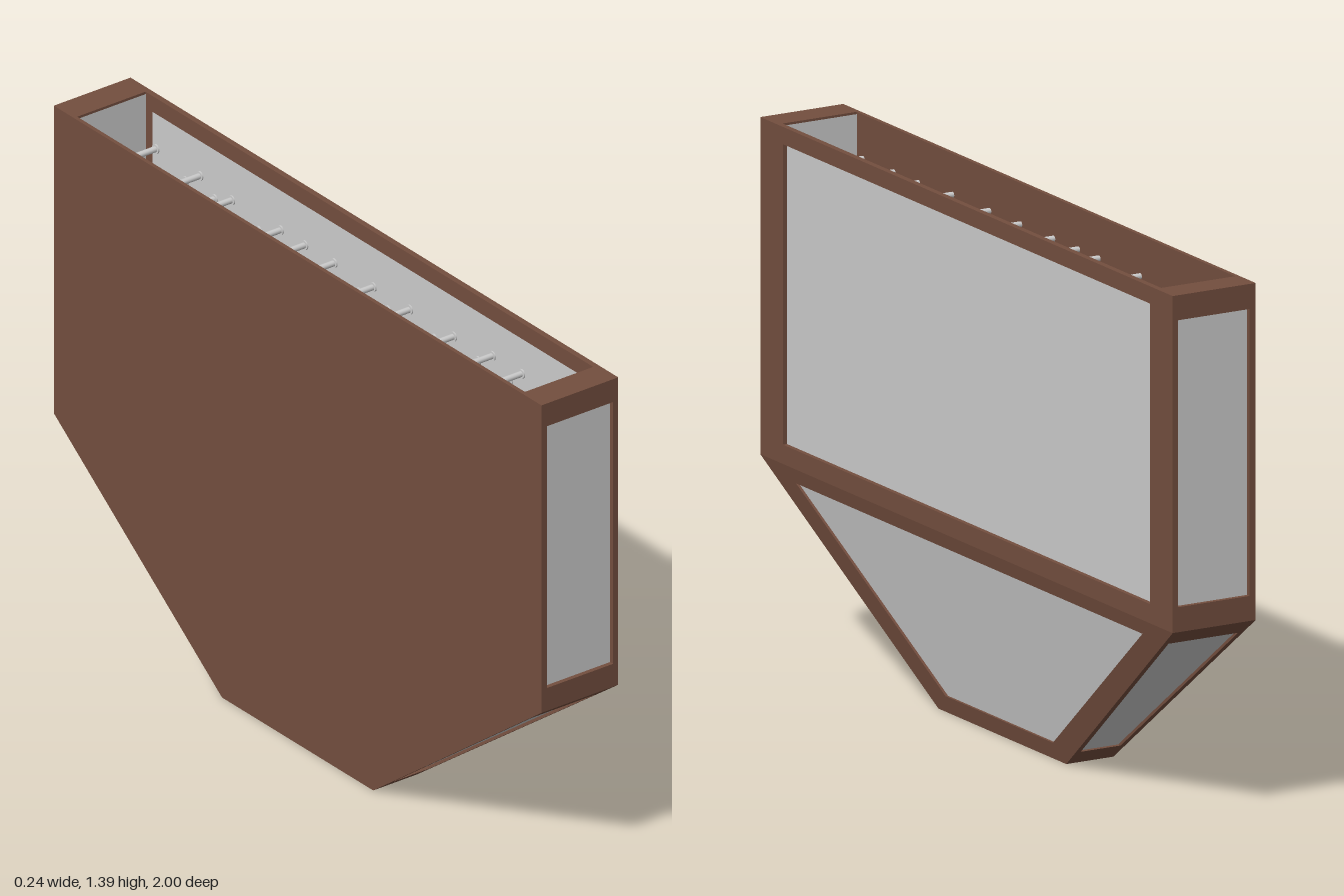
import * as THREE from 'three';
import { ConvexGeometry } from 'three/addons/geometries/ConvexGeometry.js';
import { mergeGeometries } from 'three/addons/utils/BufferGeometryUtils.js';

const wood = new THREE.MeshStandardMaterial({ color: 0x734e3e });
const grey = new THREE.MeshStandardMaterial({ color: 0xcccccc });
const V = (x, y, z) => new THREE.Vector3(x, y, z);

// Key dimensions
const BACK = -0.115, SIDE = 0.12, FOOT = 0.015; // x of back board, upper face, foot of sloped face
const TOP = 1.39, MID = 0.515, END = 1, FOOT_END = 0.31;

function addMesh(parent, name, geometry, material) {
  const mesh = new THREE.Mesh(geometry, material);
  mesh.name = name;
  parent.add(mesh);
  return mesh;
}

// Four-sided wooden frame with a recessed pane; corners run round the quad.
// "depth" points inwards; a lined pane widens to cover the inside of the frame.
function framedPanel(name, outer, hole, depth, recess, lined) {
  const group = new THREE.Group();
  group.name = name;
  const push = (p, k) => p.clone().addScaledVector(depth, k);
  const bars = outer.map((p, i) => {
    const j = (i + 1) % 4;
    const face = [p, outer[j], hole[j], hole[i]];
    return new ConvexGeometry([...face, ...face.map((q) => push(q, 1))]);
  });
  addMesh(group, name + 'Frame', mergeGeometries(bars), wood);
  const inside = lined ? outer.map((p, i) => p.clone().lerp(hole[i], 0.08)) : hole;
  const pane = [...hole.map((p) => push(p, recess)), ...inside.map((p) => push(p, lined ? 1.03 : 0.95))];
  addMesh(group, name + 'Pane', new ConvexGeometry(pane), grey);
  return group;
}

export function createModel() {
  const model = new THREE.Group();

  // Solid six-sided back board
  const outline = [[TOP, END], [MID, END], [0, FOOT_END], [0, -FOOT_END], [MID, -END], [TOP, -END]];
  const board = outline.flatMap(([y, z]) => [V(-0.123, y, z), V(BACK + 0.003, y, z)]);
  addMesh(model, 'backBoard', new ConvexGeometry(board), wood);

  // Large upright face
  model.add(framedPanel('upperFace',
    [V(SIDE, TOP, END), V(SIDE, MID, END), V(SIDE, MID, -END), V(SIDE, TOP, -END)],
    [V(SIDE, 1.345, 0.89), V(SIDE, 0.565, 0.89), V(SIDE, 0.565, -0.89), V(SIDE, 1.345, -0.89)],
    V(-0.016, 0, 0), 0.75, false));

  // Sloped lower face
  const slopeX = (y) => FOOT + (SIDE - FOOT) * y / MID;
  const onSlope = (y, z) => V(slopeX(y), y, z);
  model.add(framedPanel('lowerFace',
    [onSlope(MID, END), onSlope(0, FOOT_END), onSlope(0, -FOOT_END), onSlope(MID, -END)],
    [onSlope(0.475, 0.84), onSlope(0.045, 0.26), onSlope(0.045, -0.26), onSlope(0.475, -0.84)],
    V(-0.012, 0, 0), 0.6, false));

  // Upright and sloped end walls, mirrored front to back
  for (const s of [1, -1]) {
    const side = s > 0 ? 'front' : 'rear';
    const e = s * END;
    model.add(framedPanel(side + 'UpperEnd',
      [V(BACK, TOP, e), V(BACK, MID, e), V(SIDE, MID, e), V(SIDE, TOP, e)],
      [V(-0.105, 1.325, e), V(-0.105, 0.58, e), V(0.105, 0.58, e), V(0.105, 1.325, e)],
      V(0, 0, -s * 0.082), 0.15, true));

    const onEnd = (x, y) => V(x, y, s * (FOOT_END + (END - FOOT_END) * y / MID));
    model.add(framedPanel(side + 'LowerEnd',
      [onEnd(BACK, MID), onEnd(BACK, 0), onEnd(FOOT, 0), onEnd(SIDE, MID)],
      [onEnd(-0.108, 0.47), onEnd(-0.108, 0.045), onEnd(slopeX(0.045) - 0.015, 0.045), onEnd(slopeX(0.47) - 0.015, 0.47)],
      V(0, 0, -s * 0.05), 0.25, true));
  }

  // Scattered headed pegs inside the case
  const pegs = new THREE.Group();
  pegs.name = 'pegs';
  model.add(pegs);
  const pinZ = [-0.81, -0.72, -0.69, -0.66, -0.63, -0.6, -0.57, -0.55, -0.48, -0.45, -0.37, -0.31,
    -0.28, -0.25, -0.23, -0.2, -0.18, -0.16, -0.11, -0.09, -0.06, 0, 0.04, 0.07, 0.1, 0.12, 0.16,
    0.19, 0.25, 0.32, 0.35, 0.4, 0.43, 0.46, 0.51, 0.53, 0.57, 0.6, 0.64, 0.67, 0.69, 0.72, 0.75,
    0.77, 0.84, 0.86];
  const rows = [1.29, 1.0, 1.25, 0.8];
  const shaft = new THREE.CylinderGeometry(0.008, 0.008, 0.138, 12).rotateZ(Math.PI / 2);
  const head = new THREE.CylinderGeometry(0.013, 0.013, 0.004, 12).rotateZ(Math.PI / 2).translate(0.068, 0, 0);
  const pegShape = mergeGeometries([shaft, head]);
  pinZ.forEach((z, i) => {
    const peg = addMesh(pegs, 'peg', pegShape, grey);
    peg.position.set(Math.abs(z) < 0.5 ? -0.03 : -0.015, rows[i % 4], z);
  });

  return model;
}
